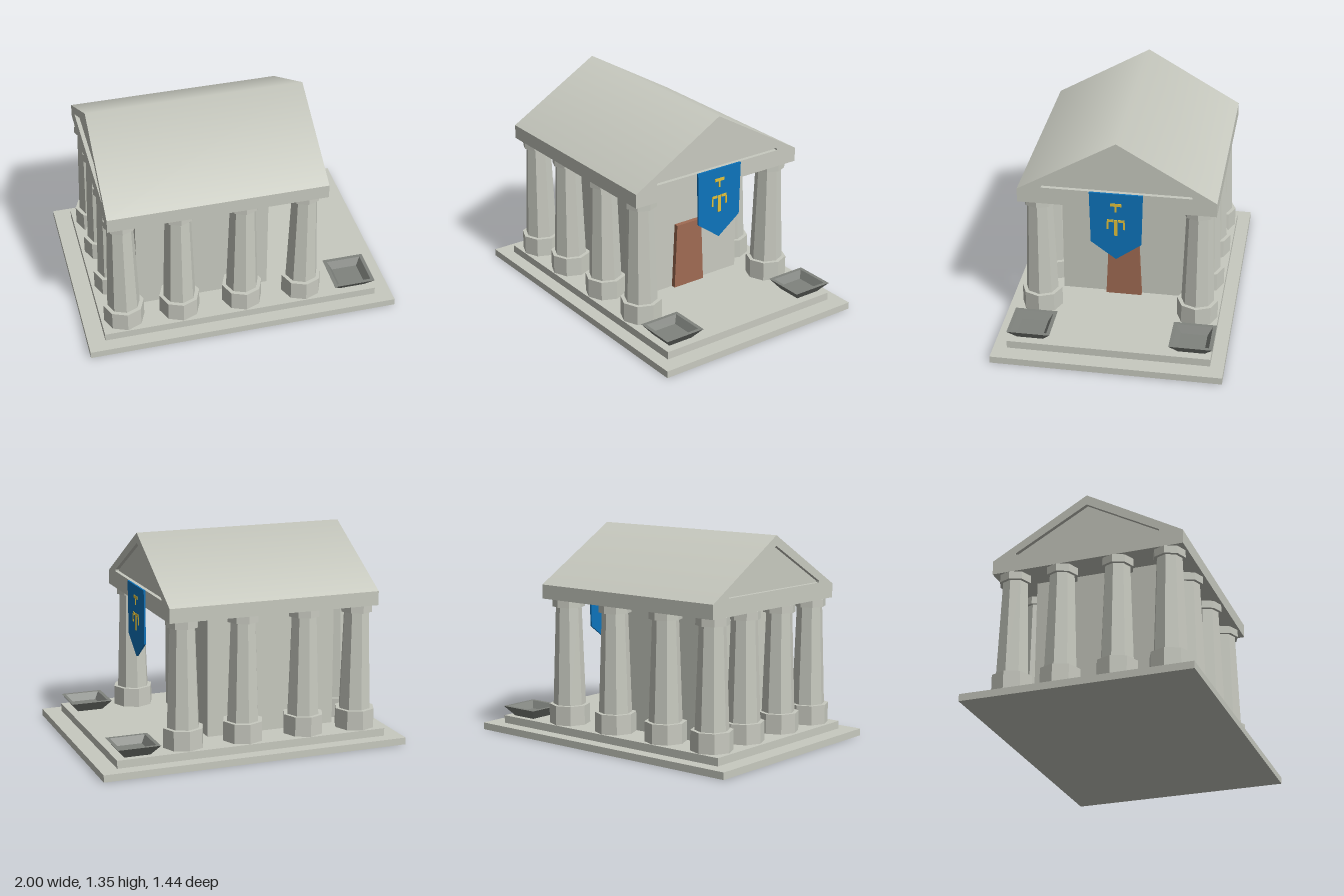
import * as THREE from 'three';

const mat = (name, color) => {
  const m = new THREE.MeshStandardMaterial({ color });
  m.name = name;
  return m;
};

export function createModel() {
  const stone = mat('stone', 0xc8cac0);
  const darkStone = mat('dark stone', 0x80837e);
  const wood = mat('door brown', 0xa06b53);
  const blue = mat('banner blue', 0x0d74bc);
  const gold = mat('banner gold', 0xe2c23c);

  const temple = new THREE.Group();
  temple.name = 'temple';

  const add = (name, geometry, material, parent = temple) => {
    const mesh = new THREE.Mesh(geometry, material);
    mesh.name = name;
    parent.add(mesh);
    return mesh;
  };

  // Box given by its limits on each axis
  const box = (name, x0, x1, y0, y1, z0, z1, material, parent) => {
    const g = new THREE.BoxGeometry(x1 - x0, y1 - y0, z1 - z0);
    g.translate((x0 + x1) / 2, (y0 + y1) / 2, (z0 + z1) / 2);
    return add(name, g, material, parent);
  };

  // Upright outline (z, y) pushed along x from x0 to x1
  const points = (list) => list.map(([a, b]) => new THREE.Vector2(a, b));
  const slab = (outline, x0, x1, hole) => {
    const shape = new THREE.Shape(points(outline));
    if (hole) shape.holes.push(new THREE.Path(points(hole)));
    const g = new THREE.ExtrudeGeometry(shape, { depth: x1 - x0, bevelEnabled: false });
    return g.rotateY(Math.PI / 2).translate(x0, 0, 0);
  };

  // Stepped platform
  box('lowerStep', -1, 1, 0, 0.045, -0.72, 0.72, stone);
  box('upperStep', -0.89, 0.89, 0.045, 0.095, -0.635, 0.635, stone);

  // Inner chamber and door
  box('chamber', -0.63, 0.225, 0.095, 0.9, -0.4, 0.4, stone);
  add('door', slab([[-0.115, 0.095], [0.115, 0.095], [0.095, 0.53], [-0.095, 0.53]], 0.225, 0.255), wood);

  // Roof with a gable opening, shaded softly over the ridge
  const gable = [[-0.465, 1.01], [0.465, 1.01], [0.465, 1.02], [0, 1.28], [-0.465, 1.02]];
  const ridge = 1.345;
  const roof = slab(
    [[-0.615, 0.9], [0.615, 0.9], [0.615, 0.99], [0, ridge], [-0.615, 0.99]], -0.835, 0.545, gable);
  const pos = roof.attributes.position;
  const nor = roof.attributes.normal;
  for (let i = 0; i < pos.count; i++) {
    if (pos.getY(i) > ridge - 0.001 && Math.abs(nor.getX(i)) < 0.1) nor.setXYZ(i, 0, 1, 0);
  }
  add('roof', roof, stone);
  add('gablePanels', slab(gable, -0.81, 0.52), stone);

  // Eight-sided columns along both sides and the back
  const drum = (rTop, rBottom, y0, y1) => {
    const g = new THREE.CylinderGeometry(rTop, rBottom, y1 - y0, 8).toNonIndexed();
    g.translate(0, (y0 + y1) / 2, 0).computeVertexNormals();
    return g;
  };
  const foot = drum(0.13, 0.13, 0.095, 0.22);
  const shaft = drum(0.082, 0.104, 0.22, 0.85);
  const capital = drum(0.102, 0.102, 0.85, 0.9);
  const places = [[-0.74, -0.19], [-0.74, 0.17]];
  for (const x of [-0.74, -0.38, 0.03, 0.425]) places.push([x, -0.5], [x, 0.5]);
  for (const [x, z] of places) {
    const column = new THREE.Group();
    column.name = 'column';
    column.position.set(x, 0, z);
    add('columnFoot', foot, stone, column);
    add('columnShaft', shaft, stone, column);
    add('columnCapital', capital, stone, column);
    temple.add(column);
  }

  // Square fire bowls at the entrance corners
  const profile = [[0, 0.095], [0.083, 0.095], [0.135, 0.16], [0.112, 0.16], [0.083, 0.115], [0, 0.115]]
    .map(([half, y]) => new THREE.Vector2(half * Math.SQRT2, y));
  const bowl = new THREE.LatheGeometry(profile, 4, Math.PI / 4).toNonIndexed();
  bowl.computeVertexNormals();
  for (const z of [-0.51, 0.5]) add('fireBowl', bowl, darkStone).position.set(0.75, 0, z);

  // Pointed banner hanging from the gable
  add('banner', slab(
    [[-0.165, 1.01], [-0.157, 0.665], [0, 0.55], [0.157, 0.665], [0.165, 1.01]], 0.545, 0.557), blue);

  // Plain gold bars on the banner: z centre, width, bottom, top
  for (const [z, w, y0, y1] of [
    [0, 0.07, 0.925, 0.945], [0, 0.012, 0.885, 0.925], [0, 0.022, 0.72, 0.83],
    [-0.035, 0.04, 0.815, 0.832], [0.035, 0.04, 0.815, 0.832],
    [-0.052, 0.012, 0.765, 0.815], [0.052, 0.012, 0.765, 0.815],
  ]) box('bannerTrim', 0.557, 0.56, y0, y1, z - w / 2, z + w / 2, gold);

  return temple;
}
